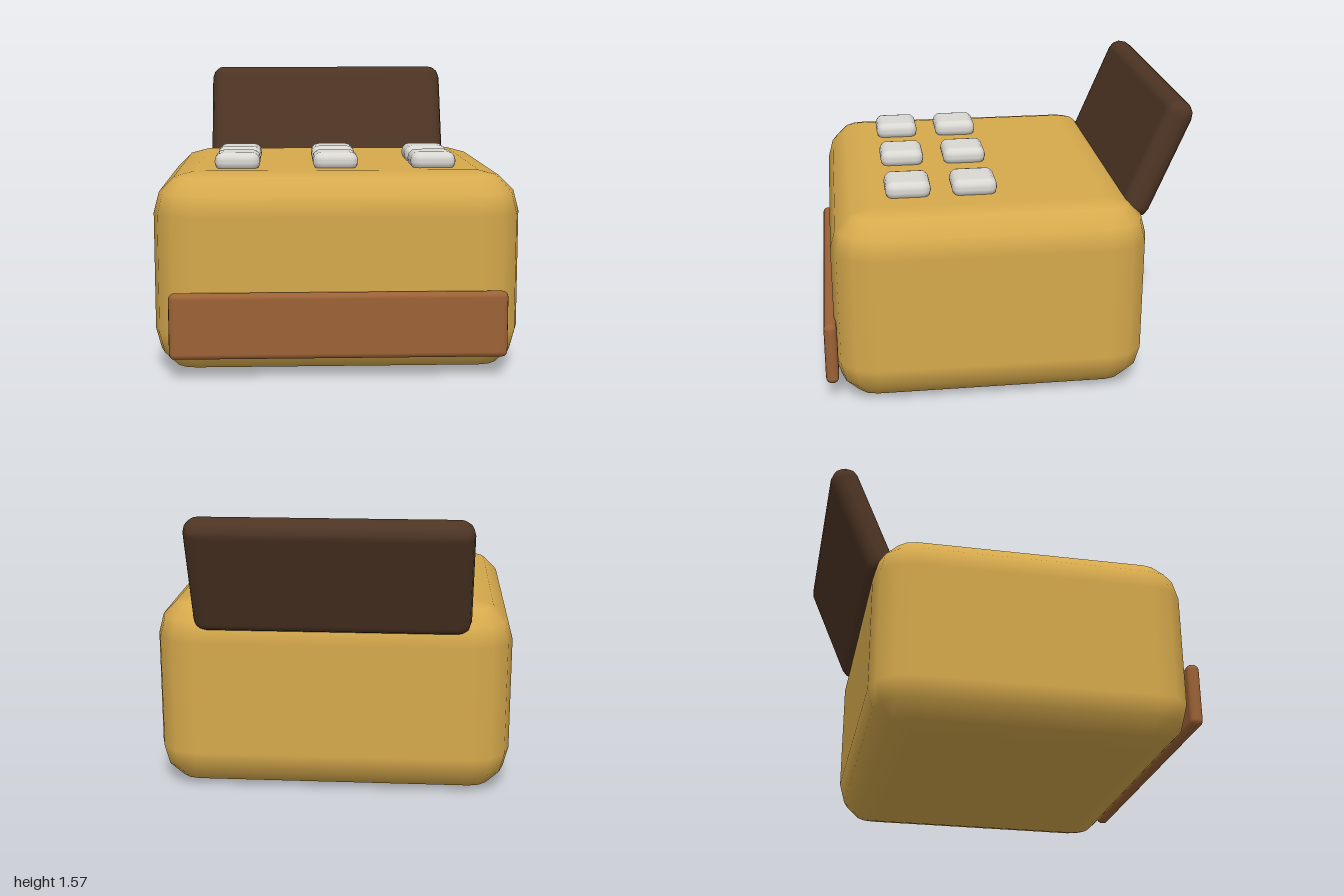
import * as THREE from 'three';

// Box with spherical corners: latitude rings, each split over the four corners.
function roundedBox(w, h, d, r, seg = 3) {
  const pos = [], nor = [], idx = [];
  const n = seg + 1, ring = 4 * n, rows = 2 * n;
  const cx = w / 2 - r, cy = h / 2 - r, cz = d / 2 - r;
  for (let row = 0; row < rows; row++) {
    const upper = row >= n;
    const lat = ((upper ? row - n : row - seg) / seg) * Math.PI / 2;
    for (let q = 0; q < 4; q++) {
      const sx = q === 0 || q === 3 ? 1 : -1, sz = q < 2 ? 1 : -1;
      for (let k = 0; k < n; k++) {
        const lon = (q + k / seg) * Math.PI / 2;
        const nx = Math.cos(lat) * Math.cos(lon);
        const ny = Math.sin(lat);
        const nz = Math.cos(lat) * Math.sin(lon);
        nor.push(nx, ny, nz);
        pos.push(sx * cx + r * nx, (upper ? cy : -cy) + r * ny, sz * cz + r * nz);
      }
    }
  }
  for (let row = 0; row < rows - 1; row++) {
    for (let i = 0; i < ring; i++) {
      const a = row * ring + i, b = row * ring + (i + 1) % ring;
      idx.push(a, a + ring, b, b, a + ring, b + ring);
    }
  }
  // flat bottom and top
  const t = (rows - 1) * ring;
  idx.push(0, n, 2 * n, 0, 2 * n, 3 * n);
  idx.push(t, t + 2 * n, t + n, t, t + 3 * n, t + 2 * n);
  const g = new THREE.BufferGeometry();
  g.setAttribute('position', new THREE.Float32BufferAttribute(pos, 3));
  g.setAttribute('normal', new THREE.Float32BufferAttribute(nor, 3));
  g.setIndex(idx);
  return g;
}

function material(name, color) {
  const m = new THREE.MeshStandardMaterial({ color });
  m.name = name;
  return m;
}

export function createModel() {
  const model = new THREE.Group();
  model.name = 'register';
  const mustard = material('mustard', 0xd6a94c);
  const darkBrown = material('dark brown', 0x4e3524);
  const copper = material('copper brown', 0x9c6236);
  const ivory = material('light grey', 0xdad8d3);

  const add = (name, geometry, mat, x, y, z) => {
    const mesh = new THREE.Mesh(geometry, mat);
    mesh.name = name;
    mesh.position.set(x, y, z);
    model.add(mesh);
    return mesh;
  };

  // main housing
  add('body', roundedBox(1.95, 1.07, 1.695, 0.22), mustard, 0, 0.535, 0.0975);

  // drawer front
  add('drawer', roundedBox(1.77, 0.35, 0.07, 0.03), copper, 0, 0.285, 0.965);

  // tilted display at the back
  const display = add('display', roundedBox(1.49, 0.69, 0.16, 0.075), darkBrown, 0, 1.244, -0.813);
  display.rotation.x = -0.4;

  // two rows of three keys
  const key = roundedBox(0.245, 0.1, 0.245, 0.045);
  for (const z of [0.163, 0.52]) {
    for (const x of [-0.533, -0.003, 0.527]) add('key', key, ivory, x, 1.105, z);
  }
  return model;
}
